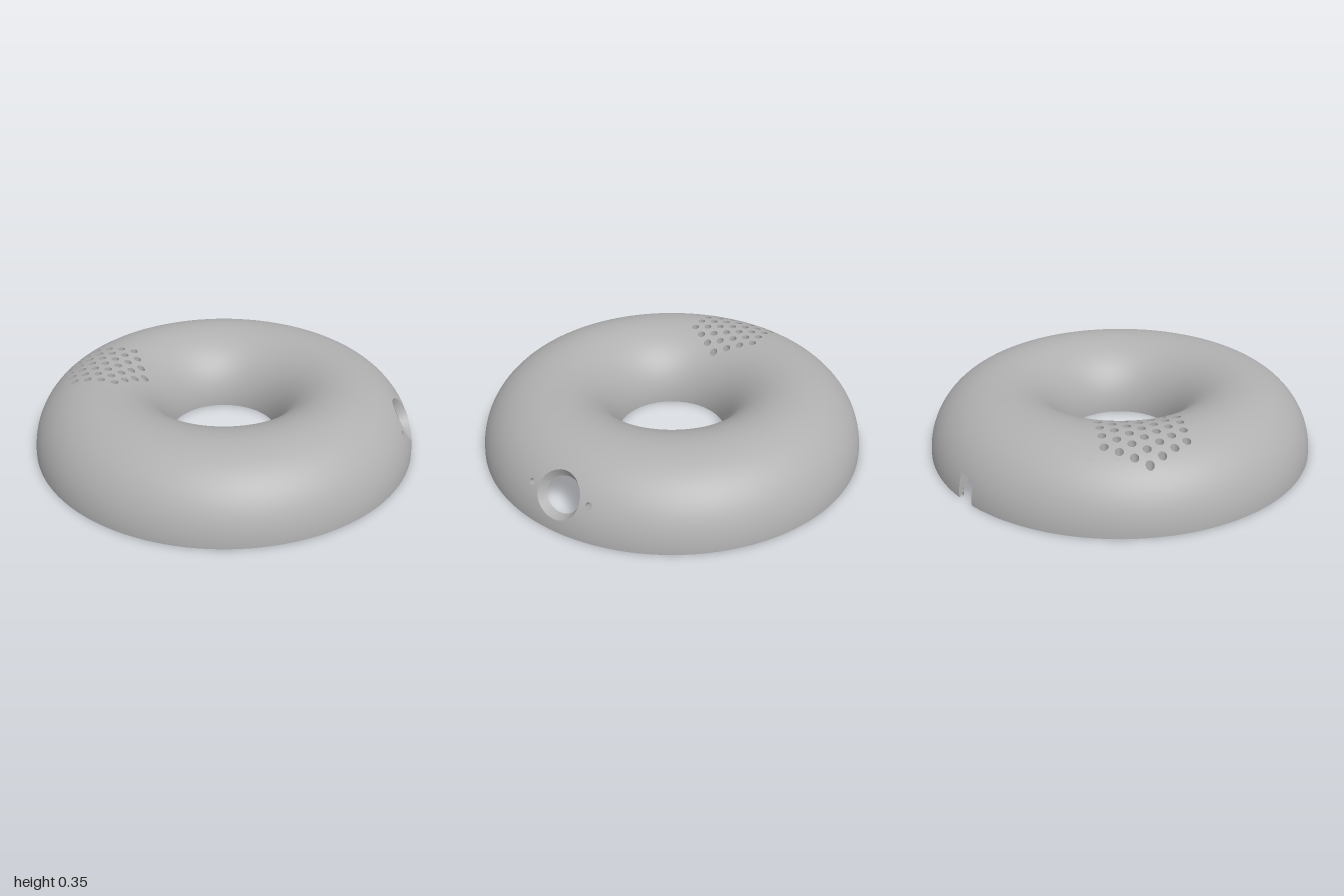
import * as THREE from 'three';
import { toCreasedNormals } from 'three/addons/utils/BufferGeometryUtils.js';

const RING = 0.645, OUT = 0.355, IN = 0.31, LIP = 0.05;
const U = 0.8, V = 0.355, STEP = 0.05; // scales of the unrolled skin, and longest edge on it
const NOTCH = Math.PI * 215 / 180, NOTCH_HALF = 0.051, NOTCH_TOP = 0.125;

// Unrolled coordinates: p.x = angle round the ring * U, p.y = angle round the tube * V
const flat = (theta, phi) => new THREE.Vector2(theta * U, phi * V);
const normalAt = (p) => {
  const t = p.x / U, f = p.y / V;
  return new THREE.Vector3(Math.cos(f) * Math.sin(t), Math.sin(f), Math.cos(f) * Math.cos(t));
};
const pointAt = (p, R) => {
  const t = p.x / U;
  return normalAt(p).multiplyScalar(R).add(new THREE.Vector3(RING * Math.sin(t), 0, RING * Math.cos(t)));
};
const circle = (n, fn) => Array.from({ length: n }, (_, i) => fn(Math.cos(i / n * Math.PI * 2), Math.sin(i / n * Math.PI * 2)));

// Hole bored square to the skin on the +x side
const sideHole = (z, rOut, rIn, n) => (R) => {
  const r = R === OUT ? rOut : rIn;
  return circle(n, (c, s) => flat(Math.PI / 2 - (z + r * c) / 0.952, Math.PI / 6 + r * s / OUT));
};
// Hole bored straight down
const verticalHole = (x, z, r, n) => (R) => circle(n, (c, s) => {
  const px = x + r * c, pz = z + r * s;
  const theta = (Math.atan2(px, pz) + Math.PI * 2) % (Math.PI * 2);
  return flat(theta, Math.acos((Math.hypot(px, pz) - RING) / R));
});

// Cable notch outline, from the rim up, across and down again
function notchOutline(R) {
  const start = R === OUT ? 0 : Math.asin(LIP / R), end = Math.asin(NOTCH_TOP / R);
  const at = (k, f) => flat(NOTCH + Math.asin(k * NOTCH_HALF / (RING + R * Math.cos(f))), f);
  const pts = [], n = 6;
  for (let i = 0; i <= n; i++) pts.push(at(-1, start + (end - start) * i / n));
  for (let i = 1; i < n; i++) pts.push(at(-1 + 2 * i / n, end));
  for (let i = n; i >= 0; i--) pts.push(at(1, start + (end - start) * i / n));
  return pts;
}

// One panel of skin, cut in the flat, refined and rolled onto the ring
function skin(from, to, holes, notch, R) {
  const low = R === OUT ? 0 : Math.asin(LIP / R), high = Math.PI - low;
  const outline = [flat(from, low), ...(notch ? notchOutline(R) : []), flat(to, low), flat(to, high), flat(from, high)];
  const shape = new THREE.Shape(outline);
  shape.holes = holes.map((h) => new THREE.Path(h(R)));
  const src = new THREE.ShapeGeometry(shape);
  const P = src.attributes.position, index = src.index.array;
  const pos = [], nor = [], sign = R === OUT ? 1 : -1;
  const split = (a, b, c) => {
    const ab = a.distanceTo(b), bc = b.distanceTo(c), ca = c.distanceTo(a), m = Math.max(ab, bc, ca);
    if (m > STEP) {
      if (m === bc) [a, b, c] = [b, c, a];
      else if (m === ca) [a, b, c] = [c, a, b];
      const mid = a.clone().add(b).multiplyScalar(0.5);
      split(a, mid, c);
      split(mid, b, c);
      return;
    }
    for (const p of sign > 0 ? [a, b, c] : [a, c, b]) {
      pos.push(...pointAt(p, R).toArray());
      nor.push(...normalAt(p).multiplyScalar(sign).toArray());
    }
  };
  const v = (i) => new THREE.Vector2(P.getX(i), P.getY(i));
  for (let i = 0; i < index.length; i += 3) split(v(index[i]), v(index[i + 1]), v(index[i + 2]));
  const g = new THREE.BufferGeometry();
  g.setAttribute('position', new THREE.Float32BufferAttribute(pos, 3));
  g.setAttribute('normal', new THREE.Float32BufferAttribute(nor, 3));
  return g;
}

// Cut wall joining an outline on the outer skin to the same one on the inner skin
function wall(outline, closed) {
  const a = outline(OUT).map((p) => pointAt(p, OUT)), b = outline(IN).map((p) => pointAt(p, IN));
  const pos = [], n = a.length;
  for (let i = 0; i < (closed ? n : n - 1); i++) {
    const j = (i + 1) % n;
    for (const p of [a[i], a[j], b[j], a[i], b[j], b[i]]) pos.push(p.x, p.y, p.z);
  }
  const g = new THREE.BufferGeometry();
  g.setAttribute('position', new THREE.Float32BufferAttribute(pos, 3));
  return toCreasedNormals(g, 0.7);
}

const lathe = (pts, seg, start = 0, length = Math.PI * 2) =>
  toCreasedNormals(new THREE.LatheGeometry(pts.map(([x, y]) => new THREE.Vector2(x, y)), seg, start, length), 0.5);

export function createModel() {
  const model = new THREE.Group();
  const grey = new THREE.MeshStandardMaterial({ color: 0xb0b0b0, side: THREE.DoubleSide });
  grey.name = 'grey plastic';
  const add = (name, geometry) => {
    const mesh = new THREE.Mesh(geometry, grey);
    mesh.name = name;
    model.add(mesh);
    return mesh;
  };

  // Port with a screw hole on each side
  const port = [sideHole(0, 0.118, 0.1, 40), sideHole(0.165, 0.016, 0.016, 12), sideHole(-0.165, 0.016, 0.016, 12)];

  // Hexagonal speaker grille
  const grille = [];
  for (let row = -3; row <= 3; row++) {
    const n = 7 - Math.abs(row);
    for (let i = 0; i < n; i++)
      grille.push(verticalHole(-0.647 + (i - (n - 1) / 2) * 0.0715, row * 0.0622 - 0.002, 0.02, 14));
  }

  // Half-ring shell in three panels, each with outer and inner skin
  const panels = [
    ['portPanel', 0, 0.75, port, false],
    ['notchPanel', 0.75, 1.35, [], true],
    ['grillePanel', 1.35, 2, grille, false],
  ];
  for (const [name, from, to, holes, notch] of panels) {
    add(name + 'Outside', skin(from * Math.PI, to * Math.PI, holes, notch, OUT));
    add(name + 'Inside', skin(from * Math.PI, to * Math.PI, holes, notch, IN));
    holes.forEach((h) => add(name + 'HoleWall', wall(h, true)));
  }
  add('notchWall', wall(notchOutline, false));

  // Stepped lips under the outer rim and the centre opening
  const inner = Math.sqrt(IN * IN - LIP * LIP);
  add('outerLip', lathe([[1, 0], [0.975, 0], [0.975, LIP], [RING + inner, LIP]], 120,
    NOTCH + NOTCH_HALF, Math.PI * 2 - NOTCH_HALF * 2));
  add('centreLip', lathe([[RING - OUT, 0], [0.31, 0], [0.31, LIP], [RING - inner, LIP]], 96));

  // Screw posts hanging from the ceiling
  for (const [x, z] of [[-0.17, -0.62], [0.56, 0.33], [-0.44, 0.478]])
    add('screwPost', lathe([[0.025, 0.29], [0.025, 0], [0.07, 0], [0.07, 0.285]], 32)).position.set(x, 0.04, z);

  // Slanted mounting plate behind the port
  const plate = new THREE.Shape([[0.6, 0.01], [0.45, 0.27], [0.4, 0.25], [0.55, 0.01]].map(([x, y]) => new THREE.Vector2(x, y)));
  add('mountingPlate', new THREE.ExtrudeGeometry(plate, { depth: 0.5, bevelEnabled: false })).position.z = -0.25;

  return model;
}
